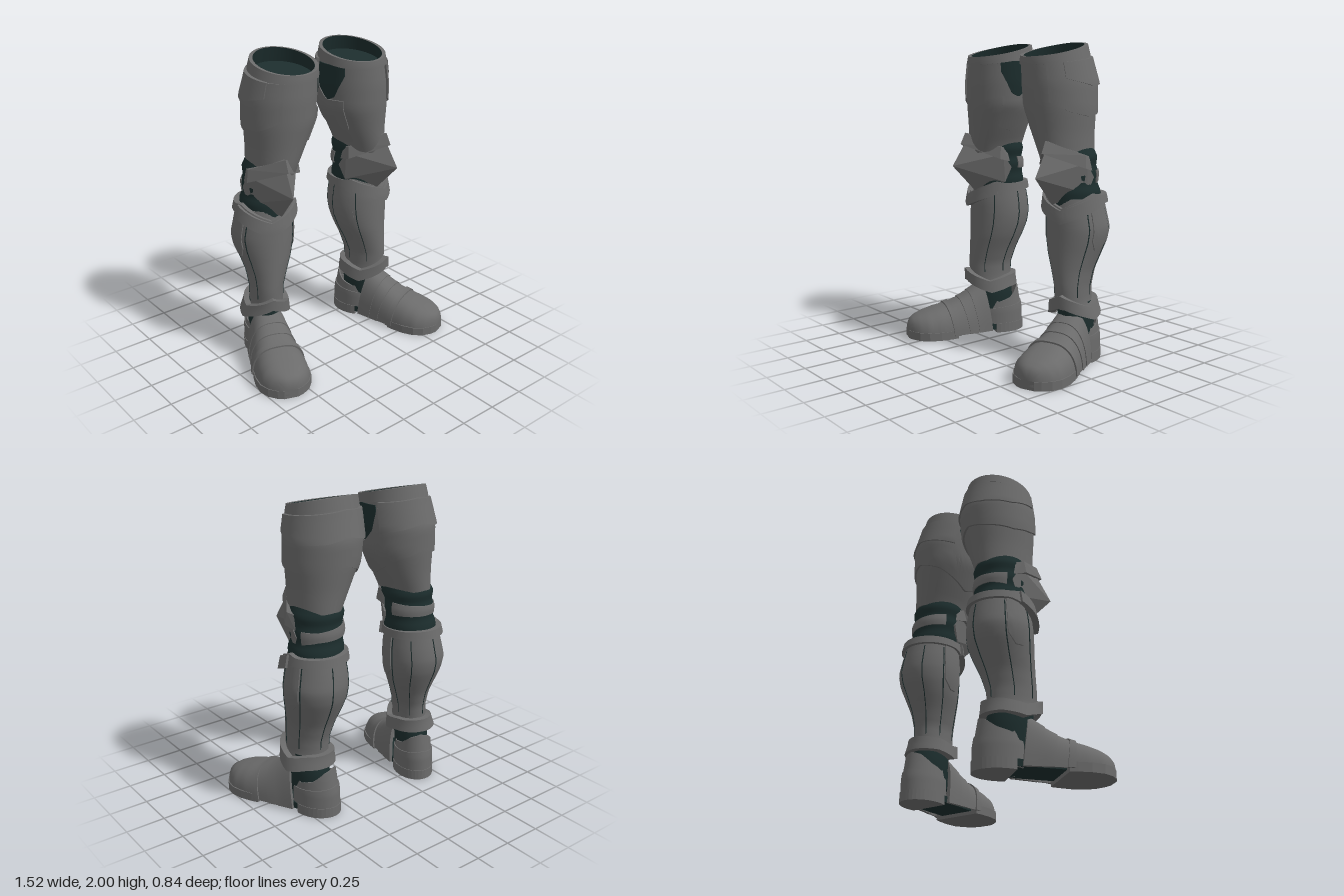
import * as THREE from 'three';
import { toCreasedNormals } from 'three/addons/utils/BufferGeometryUtils.js';
import { ConvexGeometry } from 'three/addons/geometries/ConvexGeometry.js';

const metal = new THREE.MeshStandardMaterial({ color: 0x6b6b6b, side: THREE.DoubleSide });
metal.name = 'dark steel';
const cloth = new THREE.MeshStandardMaterial({ color: 0x1c2d2d, side: THREE.DoubleSide });
cloth.name = 'dark teal cloth';

// Linear lookup in a table of [key, ...values]
function sample(t, k) {
  let i = 1;
  while (i < t.length - 1 && t[i][0] < k) i++;
  const a = t[i - 1], b = t[i];
  const f = THREE.MathUtils.clamp((k - a[0]) / (b[0] - a[0]), 0, 1);
  return a.slice(1).map((v, j) => v + (b[j + 1] - v) * f);
}
const value = (v, k) => (typeof v === 'number' ? v : sample(v, k)[0]);

// Limb surface from rows of [y, cx, cz, rx, rz]; 0 degrees is front, 90 is outward
const limb = (table) => (deg, y, off) => {
  const [cx, cz, rx, rz] = sample(table, y), a = deg * Math.PI / 180;
  return [cx + (rx + off) * Math.sin(a), y, cz + (rz + off) * Math.cos(a)];
};

// Raised plate on a surface, with its edges folded back towards it
function plate(surf, { from = 0, to = 360, lo, hi, off = 0.012, back = -0.01, nu = 48, nv = 8 }) {
  const us = [], pos = [], idx = [];
  for (let i = 0; i <= nu; i++) us.push([from + (to - from) * i / nu, 0]);
  if (to - from < 360) { us.unshift([from, 1]); us.push([to, 1]); }
  const vs = [[0, 1]];
  for (let j = 0; j <= nv; j++) vs.push([j / nv, 0]);
  vs.push([1, 1]);
  for (const [v, ev] of vs) for (const [u, eu] of us) {
    const a = value(lo, u), b = value(hi, u);
    pos.push(...surf(u, a + (b - a) * v, ev || eu ? back : off));
  }
  const n = us.length;
  for (let j = 0; j < vs.length - 1; j++) for (let i = 0; i < n - 1; i++) {
    const a = j * n + i;
    idx.push(a, a + 1, a + n, a + 1, a + n + 1, a + n);
  }
  const g = new THREE.BufferGeometry();
  g.setAttribute('position', new THREE.Float32BufferAttribute(pos, 3));
  g.setIndex(idx);
  return toCreasedNormals(g, 0.6);
}

const hull = (pts) => new ConvexGeometry(pts.map((p) => new THREE.Vector3(...p)));

// Flat slab from a ground outline of [x, z] points
function slab(outline, y, height) {
  const s = new THREE.Shape(outline.map(([x, z]) => new THREE.Vector2(x, -z)));
  return new THREE.ExtrudeGeometry(s, { depth: height, bevelEnabled: false }).rotateX(-Math.PI / 2).translate(0, y, 0);
}

// Mirror across x = 0 and restore the corner order
function mirrorX(geo) {
  const g = geo.index ? geo.toNonIndexed() : geo;
  for (const name of ['position', 'normal']) {
    const a = g.attributes[name];
    for (let i = 0; i < a.count; i += 3) {
      const p = [0, 2, 1].map((k) => [-a.getX(i + k), a.getY(i + k), a.getZ(i + k)]);
      p.forEach((q, k) => a.setXYZ(i + k, ...q));
    }
  }
  return g;
}

const thigh = limb([
  [1.25, 0.37, -0.15, 0.14, 0.18], [1.33, 0.355, -0.145, 0.15, 0.195], [1.45, 0.325, -0.142, 0.182, 0.208],
  [1.6, 0.295, -0.14, 0.222, 0.228], [1.75, 0.285, -0.14, 0.226, 0.236], [1.88, 0.272, -0.125, 0.21, 0.218],
  [2, 0.265, -0.118, 0.19, 0.197]]);
const knee = limb([
  [1, 0.38, -0.19, 0.16, 0.17], [1.09, 0.375, -0.185, 0.168, 0.165], [1.14, 0.368, -0.182, 0.155, 0.152],
  [1.2, 0.365, -0.18, 0.165, 0.16], [1.25, 0.363, -0.175, 0.153, 0.153], [1.3, 0.36, -0.17, 0.165, 0.168],
  [1.38, 0.35, -0.15, 0.14, 0.16]]);
const calf = limb([
  [0.3, 0, 0.01, 0.13, 0.15], [0.4, -0.01, 0.02, 0.107, 0.145], [0.5, -0.012, 0.02, 0.108, 0.15],
  [0.6, -0.02, 0.003, 0.13, 0.163], [0.7, -0.022, -0.022, 0.165, 0.183], [0.78, -0.018, -0.04, 0.188, 0.198],
  [0.86, -0.016, -0.048, 0.199, 0.203], [0.94, -0.024, -0.046, 0.189, 0.196], [1.08, -0.032, -0.044, 0.165, 0.17]]);
const heel = limb([
  [0, 0, -0.05, 0.12, 0.16], [0.15, 0, -0.05, 0.12, 0.158], [0.33, 0, -0.05, 0.105, 0.128]]);
const ankle = limb([[0.12, 0, 0, 0.1, 0.14], [0.28, 0, 0, 0.11, 0.14], [0.4, 0, 0.015, 0.1, 0.13]]);

// Foot rows of [z, half width, height]
const footRows = [
  [0, 0.115, 0.34], [0.1, 0.125, 0.315], [0.17, 0.135, 0.272], [0.24, 0.15, 0.232], [0.34, 0.165, 0.193],
  [0.42, 0.172, 0.175], [0.5, 0.162, 0.152], [0.56, 0.128, 0.13], [0.6, 0.078, 0.105], [0.617, 0.04, 0.07]];
const foot = (deg, z, off) => {
  const [w, h] = sample(footRows, z), a = deg * Math.PI / 180, s = Math.max(0, Math.sin(a)), c = Math.cos(a);
  const slant = 0.05 * THREE.MathUtils.clamp((0.5 - z) * 5, 0, 1);
  return [-Math.sign(c) * (w + off) * Math.abs(c) ** 0.75, 0.02 + (h + off) * s ** 0.8, z - slant * (1 - s)];
};

function buildLeg(side) {
  const leg = new THREE.Group();
  leg.name = side > 0 ? 'leftLeg' : 'rightLeg';
  const add = (name, geo, mat = metal, frame) => {
    if (frame) geo.rotateY(frame[2] * Math.PI / 180).translate(frame[0], 0, frame[1]);
    const m = new THREE.Mesh(side < 0 ? mirrorX(geo) : geo, mat);
    m.name = name;
    leg.add(m);
  };
  const shinFrame = [0.43, -0.17, 20], kneeFrame = [0.37, -0.13, 10];

  // Thigh armour with a shallow, lined top
  const rimTop = [], rimLow = [];
  for (let d = 0; d <= 360; d += 15) {
    const t = 0.045 * Math.cos(d * Math.PI / 180);
    rimTop.push([d, 1.955 - t]);
    rimLow.push([d, 1.895 - t * 0.8]);
  }
  add('thighShell', plate(thigh, { lo: [[0, 1.27], [90, 1.31], [180, 1.33], [270, 1.31], [360, 1.27]], hi: rimLow, off: 0, nv: 16 }));
  add('thighRim', plate(thigh, { lo: rimLow, hi: rimTop, off: 0.01, back: -0.012, nv: 3 }));
  add('thighLining', plate(thigh, { lo: 1.82, hi: rimTop, off: -0.013, back: -0.014 }), cloth);
  add('liningFloor', new THREE.CircleGeometry(0.198, 32).rotateX(-Math.PI / 2 + 0.21).translate(0.27, 1.87, -0.12), cloth);
  add('lowerThighPlate', plate(thigh, { from: 33, to: 305, off: 0.012,
    lo: [[33, 1.64], [65, 1.58], [100, 1.55], [140, 1.57], [180, 1.61], [225, 1.55], [280, 1.43], [305, 1.46]],
    hi: [[33, 1.87], [250, 1.87], [258, 1.74], [275, 1.66], [305, 1.66]] }));
  add('upperThighPlate', plate(thigh, { from: 60, to: 246, off: 0.022,
    lo: [[60, 1.78], [105, 1.735], [150, 1.75], [180, 1.78], [246, 1.72]],
    hi: [[60, 1.875], [180, 1.928], [246, 1.905]] }));
  add('innerThighCloth', plate(thigh, { from: 252, to: 308, off: 0.006, back: -0.002,
    lo: [[252, 1.74], [275, 1.65], [290, 1.68], [308, 1.82]], hi: 1.885 }), cloth);

  // Knee joint and pointed kneecap
  add('kneeCloth', plate(knee, { lo: 1, hi: 1.38, off: 0.004, nv: 20 }), cloth);
  add('kneeStrap', plate(knee, { from: 112, to: 258, off: 0.01,
    lo: [[112, 1.14], [150, 1.16], [258, 1.17]], hi: [[112, 1.22], [150, 1.22], [258, 1.25]], nv: 3 }));
  add('kneecap', hull([[0, 1.19, 0.305], [0, 1.36, 0.2], [0, 1.015, 0.14], [0, 1.3, 0], [0, 1.04, 0],
    ...[-1, 1].flatMap((s) => [[s * 0.17, 1.27, 0.01], [s * 0.176, 1.18, -0.05], [s * 0.158, 1.08, -0.01]])]), metal, kneeFrame);
  for (const s of [-1, 1]) {
    add('kneecapBrow', hull([[0, 1.41, 0.21], [0, 1.335, 0.245], [0, 1.4, 0.16], [0, 1.33, 0.15],
      [s * 0.172, 1.32, 0.03], [s * 0.182, 1.24, 0.04], [s * 0.16, 1.31, -0.02], [s * 0.17, 1.22, -0.04]]), metal, kneeFrame);
  }

  // Greave with chevron collars, side panels and seams
  add('greave', plate(calf, { lo: 0.36, hi: 1.05, off: 0, nv: 24 }), metal, shinFrame);
  add('kneeCollar', plate(calf, { from: -180, to: 180, off: 0.024, nv: 4,
    lo: [[-180, 1.025], [-85, 1.02], [-65, 1], [0, 0.9], [65, 1], [85, 1.02], [180, 1.025]],
    hi: [[-180, 1.075], [-85, 1.07], [-65, 1.085], [0, 0.995], [65, 1.085], [85, 1.07], [180, 1.075]] }), metal, shinFrame);
  add('kneeCollarPoint', plate(calf, { from: -68, to: 68, off: 0.04, nv: 4,
    lo: [[-68, 1], [0, 0.9], [68, 1]], hi: [[-68, 1.08], [0, 0.985], [68, 1.08]] }), metal, shinFrame);
  for (const [from, to] of [[56, 93], [249, 292]]) {
    const mid = (from + to) / 2;
    add('calfPanel', plate(calf, { from, to, off: 0.008, nu: 16,
      lo: [[from, 0.79], [mid - 7, 0.73], [mid + 7, 0.73], [to, 0.79]], hi: 1.03 }), metal, shinFrame);
  }
  for (const d of [48, 96, 155, 205, 246, 298]) {
    add('greaveSeam', plate(calf, { from: d - 0.9, to: d + 0.9, lo: 0.44, hi: 1.01, off: 0.003, back: -0.003, nu: 2, nv: 20 }), cloth, shinFrame);
  }
  add('ankleCollar', plate(calf, { from: -180, to: 180, off: 0.037, nv: 3,
    lo: [[-180, 0.335], [-120, 0.33], [-75, 0.3], [0, 0.385], [75, 0.3], [120, 0.33], [180, 0.335]],
    hi: [[-180, 0.42], [-120, 0.41], [-75, 0.38], [0, 0.46], [75, 0.38], [120, 0.41], [180, 0.42]] }), metal, shinFrame);
  add('ankleCloth', plate(ankle, { lo: 0.12, hi: 0.4, off: 0 }), cloth, shinFrame);

  // Armoured shoe: overlapping lames, toe cap and heel cup
  for (const [z0, z1, off] of [[0.09, 0.19, 0.012], [0.15, 0.26, 0.007], [0.23, 0.35, 0.001], [0.325, 0.36, 0.01]]) {
    add('footLame', plate(foot, { from: 0, to: 180, lo: z1, hi: z0, off, nu: 24, nv: 4 }), metal, shinFrame);
  }
  add('toeCap', plate(foot, { from: 0, to: 180, lo: 0.617, hi: 0.34, off: 0, back: -0.035, nu: 24, nv: 16 }), metal, shinFrame);
  add('heelCup', plate(heel, { from: 48, to: 312, off: 0, lo: 0.02,
    hi: [[48, 0.26], [75, 0.215], [110, 0.24], [145, 0.295], [180, 0.315], [215, 0.295], [250, 0.24], [285, 0.215], [312, 0.26]] }), metal, shinFrame);
  add('heelBand', plate(heel, { from: 50, to: 310, off: 0.006, lo: 0.06, hi: [[50, 0.17], [180, 0.2], [310, 0.17]] }), metal, shinFrame);

  // Soles with a dark arch between them
  const toeHalf = footRows.filter((r) => r[0] >= 0.34).map(([z, w]) => [w + 0.005, z]);
  toeHalf.unshift([0.162, 0.295]);
  add('toeSole', slab([...toeHalf, ...toeHalf.slice().reverse().map(([x, z]) => [-x, z])], 0, 0.055), metal, shinFrame);
  const heelOutline = [];
  for (let d = 70; d <= 290; d += 10) {
    const [x, , z] = heel(d, 0, 0.01);
    heelOutline.push([x, z]);
  }
  add('heelSole', slab(heelOutline, 0, 0.065), metal, shinFrame);
  add('archSole', new THREE.BoxGeometry(0.235, 0.04, 0.32).translate(0, 0.042, 0.14), cloth, shinFrame);
  return leg;
}

export function createModel() {
  const model = new THREE.Group();
  model.name = 'legArmour';
  model.add(buildLeg(1), buildLeg(-1));
  return model;
}
